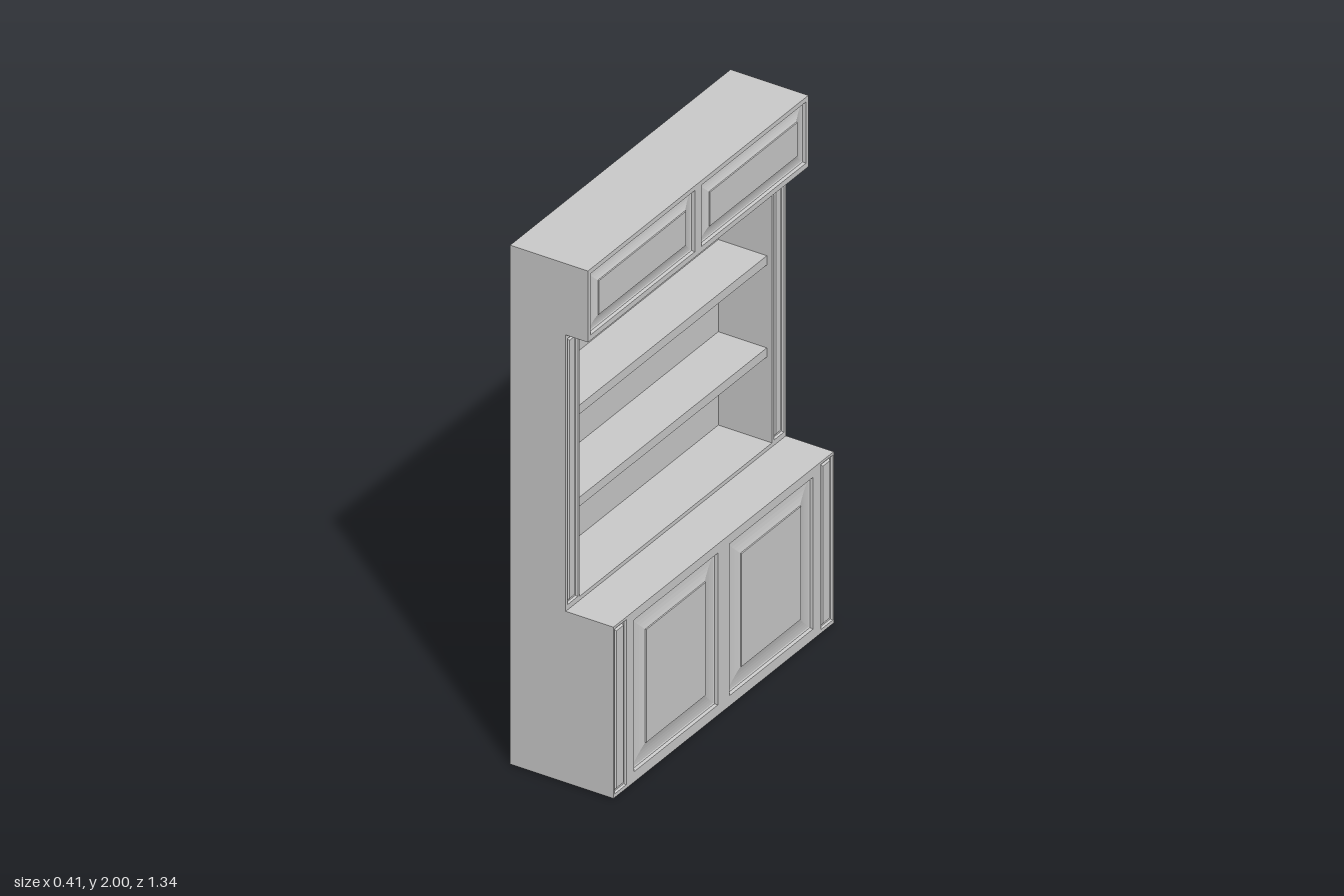
import * as THREE from 'three';

const W = 0.67;                                   // half width
const BACK = -0.203, WALL = 0.015, HEAD = 0.103, BASE = 0.203; // depths
const COUNTER = 0.66, SOFFIT = 1.725, TOP = 2;
const OPEN = { x: 0, y: 1.1925, w: 1.17, h: 1.035 }; // shelf opening
const SHELF_FRONT = -0.005;

const material = new THREE.MeshStandardMaterial({ color: 0xcccccc, side: THREE.DoubleSide });

// Mesh made of flat four-cornered faces
function quadMesh(name, quads) {
  const pos = [];
  for (const [a, b, c, d] of quads) pos.push(...a, ...b, ...c, ...a, ...c, ...d);
  const geo = new THREE.BufferGeometry();
  geo.setAttribute('position', new THREE.Float32BufferAttribute(pos, 3));
  geo.computeVertexNormals();
  const mesh = new THREE.Mesh(geo, material);
  mesh.name = name;
  return mesh;
}

// Corners of a rectangle shrunk by inset, at depth z
function corners(r, inset, z) {
  const a = r.w / 2 - inset, b = r.h / 2 - inset;
  return [[r.x - a, r.y - b, z], [r.x + a, r.y - b, z], [r.x + a, r.y + b, z], [r.x - a, r.y + b, z]];
}

// Mitred moulding: rectangles of [inset, depth] joined in turn, closed by a flat field
function panel(name, r, z, profile, closed = true) {
  const rings = profile.map(([inset, depth]) => corners(r, inset, z + depth));
  const quads = closed ? [rings[rings.length - 1]] : [];
  for (let i = 0; i + 1 < rings.length; i++) {
    for (let k = 0; k < 4; k++) {
      const n = (k + 1) % 4;
      quads.push([rings[i][k], rings[i][n], rings[i + 1][n], rings[i + 1][k]]);
    }
  }
  return quadMesh(name, quads);
}

// Flat front with rectangular cut-outs
function face(name, y0, y1, z, holes) {
  const path = (r, P) => new P(corners(r, 0, 0).map(([x, y]) => new THREE.Vector2(x, y)));
  const shape = path({ x: 0, y: (y0 + y1) / 2, w: 2 * W, h: y1 - y0 }, THREE.Shape);
  shape.holes = holes.map((r) => path(r, THREE.Path));
  const mesh = new THREE.Mesh(new THREE.ShapeGeometry(shape), material);
  mesh.name = name;
  mesh.position.z = z;
  return mesh;
}

// Raised field with a groove, a hollow slope and a small step
function raised(slope) {
  const profile = [[0, 0], [0.002, -0.012], [0.007, -0.014]];
  for (let i = 1; i <= 5; i++) {
    const t = i / 5;
    profile.push([0.007 + (slope - 0.007) * t, -0.014 + 0.01 * t * t]);
  }
  profile.push([slope + 0.001, 0]);
  return profile;
}

export function createModel() {
  const group = new THREE.Group();
  group.name = 'bookcase';
  const body = new THREE.Group();
  body.name = 'cabinet';
  body.rotation.y = Math.PI / 2; // fronts look along +x
  group.add(body);

  // Side walls
  const outline = [[BACK, 0], [BASE, 0], [BASE, COUNTER], [WALL, COUNTER],
    [WALL, SOFFIT], [HEAD, SOFFIT], [HEAD, TOP], [BACK, TOP]];
  const sideShape = new THREE.Shape(outline.map(([z, y]) => new THREE.Vector2(z, y)));
  for (const s of [-1, 1]) {
    const side = new THREE.Mesh(new THREE.ShapeGeometry(sideShape), material);
    side.name = s < 0 ? 'leftSide' : 'rightSide';
    side.rotation.y = -Math.PI / 2;
    side.position.x = s * W;
    body.add(side);
  }

  // Horizontal boards
  const board = (name, y, z0, z1) => body.add(quadMesh(name,
    [[[-W, y, z1], [W, y, z1], [W, y, z0], [-W, y, z0]]]));
  board('bottom', 0, BACK, BASE);
  board('counter', COUNTER, WALL, BASE);
  board('soffit', SOFFIT, WALL, HEAD);
  board('top', TOP, BACK, HEAD);

  // Doors, header panels and pilasters, mirrored
  const doors = [], headers = [], lowerPilasters = [], upperPilasters = [];
  for (const s of [-1, 1]) {
    doors.push({ x: s * 0.29, y: 0.3325, w: 0.51, h: 0.585 });
    headers.push({ x: s * 0.338, y: 1.864, w: 0.636, h: 0.236 });
    lowerPilasters.push({ x: s * 0.628, y: 0.332, w: 0.072, h: 0.636 });
    upperPilasters.push({ x: s * 0.627, y: 1.1925, w: 0.062, h: 1.025 });
  }
  const flute = [[0, 0], [0.003, -0.008], [0.009, -0.008], [0.015, -0.002], [0.017, -0.002]];
  doors.forEach((r) => body.add(panel('door', r, BASE, raised(0.074))));
  headers.forEach((r) => body.add(panel('headerPanel', r, HEAD, raised(0.052))));
  lowerPilasters.forEach((r) => body.add(panel('lowerPilaster', r, BASE, flute)));
  upperPilasters.forEach((r) => body.add(panel('upperPilaster', r, WALL, flute)));

  // Front frames around them
  body.add(face('baseFrame', 0, COUNTER, BASE, [...doors, ...lowerPilasters]));
  body.add(face('openingFrame', COUNTER, SOFFIT, WALL, [OPEN, ...upperPilasters]));
  body.add(face('headerFrame', SOFFIT, TOP, HEAD, headers));

  // Reveal of the opening
  body.add(panel('openingReveal', OPEN, WALL, [[0, 0], [0, SHELF_FRONT - WALL]], false));

  // Three bays as pockets open to the front; the shelves lie between them
  for (const [y0, y1] of [[0.675, 1.0], [1.035, 1.355], [1.39, 1.71]]) {
    const r = { x: 0, y: (y0 + y1) / 2, w: OPEN.w, h: y1 - y0 };
    body.add(panel('shelfBay', r, SHELF_FRONT, [[0, 0], [0, -0.196 - SHELF_FRONT]]));
  }
  for (const y of [1.0175, 1.3725]) {
    body.add(quadMesh('shelfEdge', [corners({ x: 0, y, w: OPEN.w, h: 0.035 }, 0, SHELF_FRONT)]));
  }
  return group;
}
